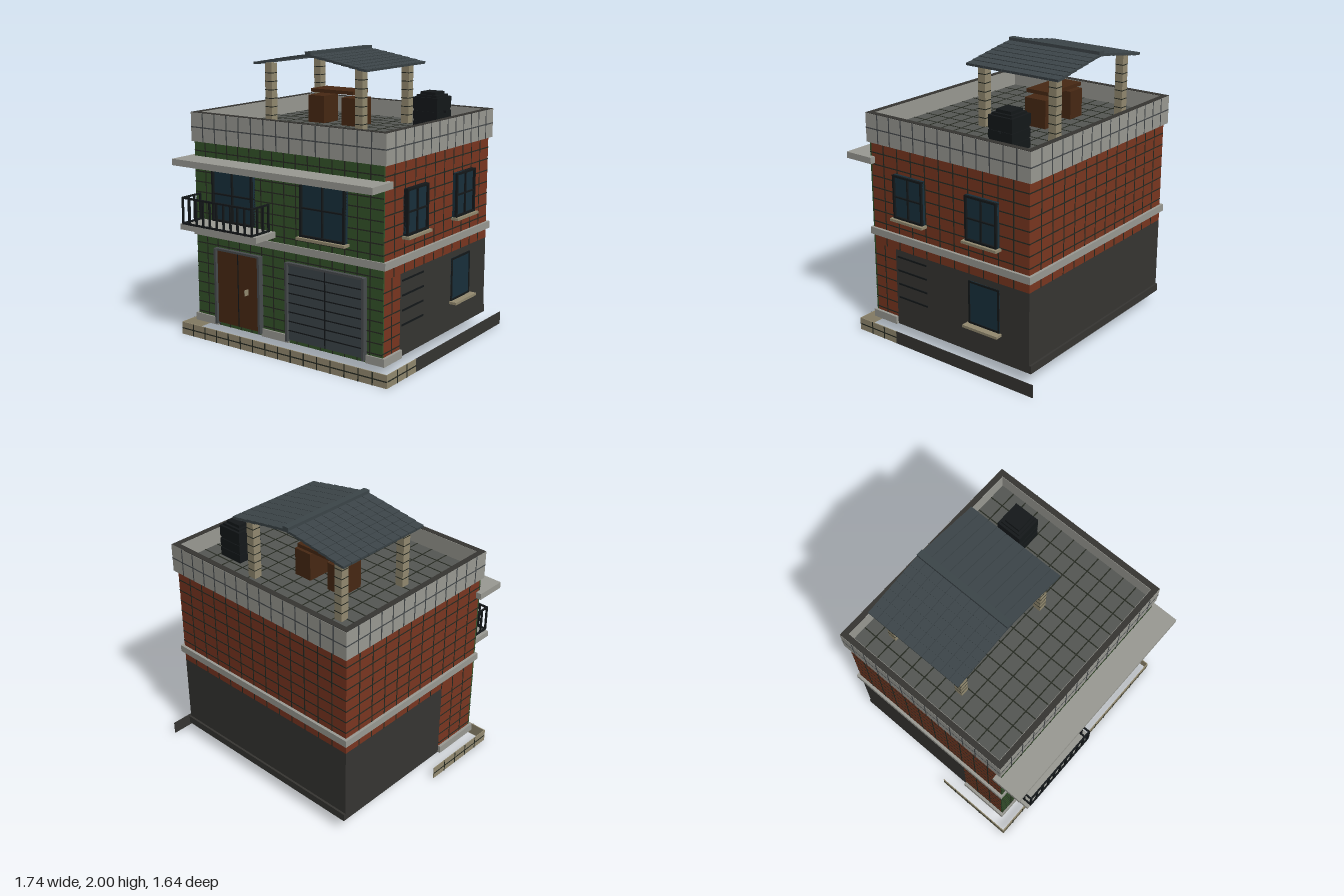
import * as THREE from 'three';
import { mergeGeometries } from 'three/addons/utils/BufferGeometryUtils.js';

const C = {
  green: 0x345429, red: 0x7a3620, dark: 0x363532, stone: 0x9a9a93, roof: 0x555753, joint: 0x262a22,
  cream: 0x938a70, slate: 0x3c4549, steel: 0x474b4d, glass: 0x18303c, black: 0x14181a, wood: 0x472813,
};
const mats = {};
const mat = (c) => (mats[c] ??= new THREE.MeshStandardMaterial({ color: C[c], flatShading: true }));

// Box geometry given by its extents
function span(x0, x1, y0, y1, z0, z1) {
  return new THREE.BoxGeometry(x1 - x0, y1 - y0, z1 - z0)
    .translate((x0 + x1) / 2, (y0 + y1) / 2, (z0 + z1) / 2);
}

function add(parent, name, color, geos) {
  const mesh = new THREE.Mesh(Array.isArray(geos) ? mergeGeometries(geos) : geos, mat(color));
  mesh.name = name;
  parent.add(mesh);
  return mesh;
}

// Thin slab on a wall: side is 'x' or 'z', a is the run along the wall, d the depth range
function slab(side, a0, a1, y0, y1, d0, d1) {
  return side === 'z' ? span(a0, a1, y0, y1, d0, d1) : span(d0, d1, y0, y1, a0, a1);
}

// Grid of tile joints lying on a wall region
function joints(side, a0, a1, y0, y1, at, da, dy) {
  const geos = [], w = 0.004, t = 0.002;
  const na = Math.round((a1 - a0) / da), ny = Math.round((y1 - y0) / dy);
  for (let i = 1; i < na; i++) {
    const a = a0 + (a1 - a0) * i / na;
    geos.push(slab(side, a - w, a + w, y0, y1, at - t, at + t));
  }
  for (let j = 1; j < ny; j++) {
    const y = y0 + (y1 - y0) * j / ny;
    geos.push(slab(side, a0, a1, y - w, y + w, at - t, at + t));
  }
  return geos;
}

// Window with glass, frame and cross bars
function makeWindow(parent, name, side, a0, a1, y0, y1, d0, d1, sill) {
  const g = new THREE.Group();
  g.name = name;
  const f = 0.014, m = (a0 + a1) / 2, h = (y0 + y1) / 2, b = 0.005;
  add(g, 'glass', 'glass', slab(side, a0, a1, y0, y1, d0, d0 + (d1 - d0) * 0.55));
  add(g, 'windowFrame', 'black', [
    slab(side, a0, a0 + f, y0, y1, d0, d1), slab(side, a1 - f, a1, y0, y1, d0, d1),
    slab(side, a0, a1, y0, y0 + f, d0, d1), slab(side, a0, a1, y1 - f, y1, d0, d1),
    slab(side, m - b, m + b, y0, y1, d0, d1 - 0.004), slab(side, a0, a1, h - b, h + b, d0, d1 - 0.004),
  ]);
  if (sill) add(g, 'windowSill', 'cream', slab(side, a0 - 0.015, a1 + 0.015, y0 - 0.018, y0, d0, d0 + sill));
  parent.add(g);
}

// Rectangular ring of four walls with a given thickness
function ring(x, z0, z1, y0, y1, t) {
  return [span(-x, x, y0, y1, z1 - t, z1), span(-x, x, y0, y1, z0, z0 + t),
    span(x - t, x, y0, y1, z0 + t, z1 - t), span(-x, -x + t, y0, y1, z0 + t, z1 - t)];
}

export function createModel() {
  const root = new THREE.Group();
  root.name = 'townHouse';
  const X = 0.78, F = 0.61, B = -0.725, T = 0.012;

  // Walls: a thin shell, open underneath
  add(root, 'frontWall', 'green', span(-X, X, 0.1, 1.4, F - T, F));
  add(root, 'upperWalls', 'red', [
    span(X - T, X, 0.66, 1.4, B, F - T), span(-X, -X + T, 0.66, 1.4, B, F - T),
    span(-X, X, 0.66, 1.4, B, B + T),
    span(X - T, X, 0.1, 0.66, 0.41, F - T), span(-X, -X + T, 0.1, 0.66, 0.25, F - T),
  ]);
  add(root, 'lowerWalls', 'dark', [
    span(X - T, X, 0.1, 0.66, B, 0.41), span(-X, -X + T, 0.1, 0.66, B, 0.25), span(-X, X, 0.1, 0.66, B, B + T),
  ]);
  add(root, 'groundFloorCeiling', 'dark', span(-X + T, X - T, 0.76, 0.77, B + T, F - T));

  // Tile joints on the coloured walls
  add(root, 'wallJoints', 'joint', [
    ...joints('z', -X, X, 0.1, 1.4, F, 0.1, 0.072), ...joints('z', -X, X, 0.66, 1.4, B, 0.12, 0.085),
    ...joints('x', B, F, 0.66, 1.4, X, 0.12, 0.085), ...joints('x', B, F, 0.66, 1.4, -X, 0.12, 0.085),
    ...joints('x', 0.41, F, 0.1, 0.66, X, 0.12, 0.085), ...joints('x', 0.25, F, 0.1, 0.66, -X, 0.12, 0.085),
  ]);

  // Floor band, parapet and roof deck
  add(root, 'floorBand', 'stone', ring(0.8, -0.745, 0.62, 0.73, 0.78, 0.03));
  add(root, 'parapet', 'stone', ring(0.8, -0.748, 0.62, 1.39, 1.59, 0.045));
  add(root, 'parapetCap', 'dark', ring(0.798, -0.746, 0.618, 1.588, 1.593, 0.04));
  const parapetLines = [];
  for (const [z, s] of [[0.62, 1], [-0.748, -1]]) parapetLines.push(...joints('z', -0.8, 0.8, 1.39, 1.59, z, 0.105, 0.1));
  for (const x of [0.8, -0.8]) parapetLines.push(...joints('x', -0.748, 0.62, 1.39, 1.59, x, 0.105, 0.1));
  add(root, 'parapetJoints', 'steel', parapetLines);
  const deck = 1.47;
  add(root, 'roofDeck', 'roof', span(-0.76, 0.76, deck - 0.02, deck, -0.71, 0.58));
  const deckLines = [];
  for (let i = 1; i < 12; i++) {
    const x = -0.76 + 1.52 * i / 12, z = -0.71 + 1.29 * i / 12;
    deckLines.push(span(x - 0.004, x + 0.004, deck, deck + 0.002, -0.71, 0.58));
    if (i % 12) deckLines.push(span(-0.76, 0.76, deck, deck + 0.002, z - 0.004, z + 0.004));
  }
  add(root, 'deckJoints', 'joint', deckLines);

  // Skirting at the wall base
  add(root, 'skirting', 'stone', [
    span(-0.8, -0.59, 0.1, 0.155, F, 0.622), span(-0.2, 0.035, 0.1, 0.155, F, 0.622), span(0.655, 0.8, 0.1, 0.155, F, 0.622),
    span(X, 0.8, 0.1, 0.155, 0.41, F), span(-0.8, -X, 0.1, 0.155, 0.25, F),
  ]);
  add(root, 'backSkirting', 'dark', span(-X, X, 0.1, 0.155, B - 0.015, B));

  // Thin kerb around the plot
  const K = 0.87;
  add(root, 'kerb', 'cream', [
    span(-K, K, 0, 0.09, 0.69, 0.697), span(K - 0.006, K, 0, 0.09, 0.35, 0.69), span(-K, -K + 0.006, 0, 0.09, 0.1, 0.69),
  ]);
  add(root, 'kerbJoints', 'joint', [
    ...joints('z', -K, K, 0, 0.09, 0.697, 0.11, 0.045),
    ...joints('x', 0.35, 0.69, 0, 0.09, K, 0.11, 0.045), ...joints('x', 0.1, 0.69, 0, 0.09, -K, 0.11, 0.045),
  ]);
  add(root, 'sideKerb', 'dark', span(K - 0.006, K, 0, 0.09, -0.82, 0.35));

  // Front windows, side windows and vent slits
  makeWindow(root, 'balconyWindow', 'z', -0.6, -0.245, 0.86, 1.245, F, 0.65, 0);
  makeWindow(root, 'frontWindow', 'z', 0.155, 0.51, 0.86, 1.245, F, 0.65, 0.06);
  for (const z of [0.13, -0.49]) makeWindow(root, 'sideWindow', 'x', z, z + 0.255, 0.905, 1.21, X, 0.815, 0.055);
  makeWindow(root, 'lowerSideWindow', 'x', -0.49, -0.235, 0.31, 0.615, X, 0.788, 0.055);
  add(root, 'ventSlits', 'black', [0, 1, 2, 3].map((i) => span(X, 0.785, 0.305 + i * 0.1, 0.317 + i * 0.1, 0.13, 0.39)));

  // Entrance door and garage door, each with a frame
  const doorFrame = (x0, x1) => [span(x0, x0 + 0.018, 0.12, 0.665, F, 0.65), span(x1 - 0.018, x1, 0.12, 0.665, F, 0.65),
    span(x0, x1, 0.65, 0.665, F, 0.64)];
  add(root, 'doorFrame', 'steel', doorFrame(-0.595, -0.19));
  add(root, 'door', 'wood', span(-0.577, -0.208, 0.13, 0.65, F, 0.63));
  add(root, 'doorGrooves', 'black', joints('z', -0.577, -0.208, 0.13, 0.65, 0.63, 0.185, 0.52));
  add(root, 'doorHandle', 'cream', span(-0.31, -0.302, 0.375, 0.415, 0.63, 0.665));
  add(root, 'garageFrame', 'steel', doorFrame(0.028, 0.66));
  add(root, 'garageDoor', 'slate', span(0.046, 0.642, 0.13, 0.65, F, 0.63));
  add(root, 'garageGrooves', 'black', joints('z', 0.046, 0.642, 0.13, 0.65, 0.63, 0.3, 0.065));

  // Canopy and balcony with railing
  add(root, 'canopy', 'stone', span(-0.82, 0.82, 1.245, 1.29, 0.57, 0.795));
  const balcony = new THREE.Group();
  balcony.name = 'balcony';
  root.add(balcony);
  add(balcony, 'balconySlab', 'stone', span(-0.745, -0.075, 0.81, 0.85, F, 0.81));
  const rails = [], r = 0.006, x0 = -0.715, x1 = -0.108, zr = 0.812;
  for (const y of [0.857, 1.035]) {
    rails.push(span(x0 - r, x1 + r, y - r, y + r, zr - r, zr + r));
    for (const x of [x0, x1]) rails.push(span(x - r, x + r, y - r, y + r, 0.635, zr));
  }
  const post = (x, z) => rails.push(span(x - r, x + r, 0.85, 1.04, z - r, z + r));
  for (let i = 0; i <= 10; i++) post(x0 + (x1 - x0) * i / 10, zr);
  for (const x of [x0, x1]) for (const z of [0.641, 0.698, 0.755]) post(x, z);
  add(balcony, 'railing', 'black', rails);

  // Roof shelter: four posts under rows of overlapping tiles
  const shelter = new THREE.Group();
  shelter.name = 'roofShelter';
  root.add(shelter);
  const ridgeX = -0.153, rows = 7, cols = 10, tiles = [], rings = [];
  for (const x of [-0.54, 0.235]) for (const z of [0.065, -0.513]) {
    add(shelter, 'shelterPost', 'cream', span(x - 0.03, x + 0.03, deck, 1.9, z - 0.03, z + 0.03));
    for (let y = 1.53; y < 1.88; y += 0.06) rings.push(span(x - 0.031, x + 0.031, y - 0.003, y + 0.003, z - 0.031, z + 0.031));
  }
  add(shelter, 'postJoints', 'joint', rings);
  for (const s of [-1, 1]) for (let i = 0; i < rows; i++) for (let j = 0; j < cols; j++) {
    const d = 0.02 + 0.457 * (i + 0.5) / rows, w = 0.745 / cols;
    const y = 1.974 - 0.075 * Math.pow(d / 0.46, 1.1);
    tiles.push(new THREE.BoxGeometry(0.075, 0.017, w - 0.004).rotateZ(-s * 0.1)
      .translate(ridgeX + s * d, y, -0.6 + w * (j + 0.5)));
  }
  add(shelter, 'roofTiles', 'slate', tiles);
  add(shelter, 'ridgeCap', 'slate', span(ridgeX - 0.024, ridgeX + 0.024, 1.965, 2, -0.6, 0.145));

  // Table and benches under the shelter
  add(root, 'tableTop', 'wood', span(-0.335, 0.03, 1.69, 1.715, -0.32, -0.13));
  for (const x of [-0.365, -0.075]) add(root, 'bench', 'wood', span(x, x + 0.137, deck, 1.665, -0.31, -0.14));

  // Water tank
  const tank = new THREE.Group();
  tank.name = 'waterTank';
  root.add(tank);
  for (const [h, y0, y1] of [[0.095, deck, 1.53], [0.09, 1.53, 1.545], [0.095, 1.545, 1.6], [0.09, 1.6, 1.615],
    [0.095, 1.615, 1.695], [0.078, 1.695, 1.71], [0.06, 1.71, 1.73]]) {
    add(tank, 'tankSection', 'black', span(0.526 - h, 0.526 + h, y0, y1, -0.372 - h, -0.372 + h));
  }
  add(tank, 'tankOutlet', 'black', span(0.62, 0.64, 1.59, 1.605, -0.382, -0.362));
  return root;
}
